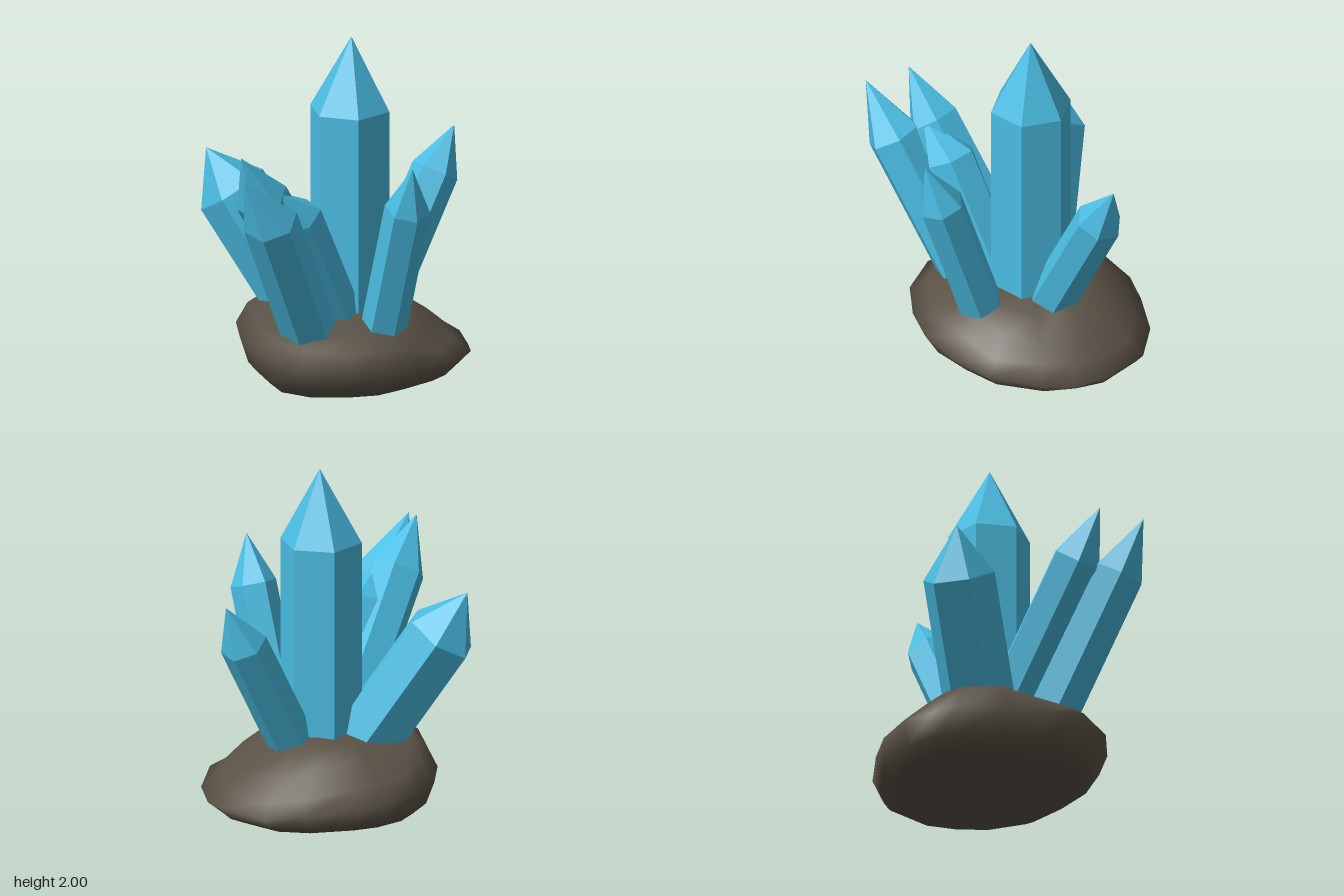
import * as THREE from 'three';

const V = (p) => new THREE.Vector3(...p);

// Six-sided prism from base to shoulder, closed by a point at tip
function crystalGeometry(base, shoulder, tip, radius, roll) {
  const lo = V(base), hi = V(shoulder), top = V(tip);
  const axis = hi.clone().sub(lo).normalize();
  lo.addScaledVector(axis, -0.03);
  const ref = axis.y > 0.99 ? new THREE.Vector3(0, 0, -1) : new THREE.Vector3(0, 1, 0);
  const u = ref.addScaledVector(axis, -ref.dot(axis)).normalize();
  const v = axis.clone().cross(u);
  const corner = (c, i) => {
    const a = roll + (i * Math.PI) / 3;
    return c.clone().addScaledVector(u, radius * Math.cos(a)).addScaledVector(v, radius * Math.sin(a));
  };
  const pts = [];
  for (let i = 0; i < 6; i++) {
    const a = corner(lo, i), b = corner(lo, i + 1), c = corner(hi, i + 1), d = corner(hi, i);
    pts.push(a, b, c, a, c, d, d, c, top, lo, b, a);
  }
  const geo = new THREE.BufferGeometry().setFromPoints(pts);
  geo.computeVertexNormals();
  return geo;
}

// Boulder: rings that scale one outline, steep at the back right, sloping on the left
function rockGeometry() {
  const outline = [
    [0.82, -0.12], [0.79, 0.06], [0.72, 0.25], [0.52, 0.48], [0.28, 0.56], [0.03, 0.62],
    [-0.2, 0.57], [-0.43, 0.46], [-0.57, 0.26], [-0.56, 0.04], [-0.52, -0.2], [-0.43, -0.45],
    [-0.33, -0.58], [-0.17, -0.68], [0.05, -0.71], [0.23, -0.68], [0.53, -0.57], [0.71, -0.42],
  ];
  const n = outline.length, cx = 0.1;
  // scale, height, share of rim tilt, widening and lift of the steep side, drop on the left, centre z
  const rings = [
    [0.79, 0, 0, 0, 0, 0, -0.075], [0.91, 0.06, 0.3, 0, 0, 0, -0.07], [1, 0.18, 1, 0, 0, 0, -0.05],
    [0.86, 0.27, 0.6, 0.6, 0.14, 0.04, -0.05], [0.7, 0.35, 0.2, 0.6, 0.06, 0.08, -0.05],
    [0.5, 0.4, 0, 0, 0, 0.06, -0.05], [0.25, 0.425, 0, 0, 0, 0.03, -0.05],
  ];
  const pos = [cx, 0, -0.075], index = [];
  rings.forEach(([s, y, tilt, widen, lift, fall, cz], r) => outline.forEach(([x, z], i) => {
    const steep = Math.max(0, -x - 0.2) * 2 * THREE.MathUtils.clamp(0.5 - z * 1.5, 0, 1);
    const wide = s + (1 - s) * steep * widen;
    const px = cx + (x - cx) * wide, pz = cz + (z + 0.05) * wide;
    const bump = tilt * 0.015 * Math.sin(i * 2.3 + r);
    const back = r > 3 && z < 0 ? 0.03 : 0;
    const drop = Math.min(fall, Math.max(0, px - 0.3) * 0.3);
    pos.push(px, Math.max(0, y - tilt * 0.1 * x + bump + back + steep * lift - drop), pz);
  }));
  const last = 1 + rings.length * n, t = last - n;
  pos.push(cx, 0.435, -0.05);
  for (let i = 0; i < n; i++) {
    const j = (i + 1) % n;
    index.push(0, 1 + i, 1 + j);
    for (let r = 0; r < rings.length - 1; r++) {
      const a = 1 + r * n + i, b = 1 + r * n + j;
      index.push(a, a + n, b, b, a + n, b + n);
    }
    index.push(t + i, last, t + j);
  }
  const geo = new THREE.BufferGeometry();
  geo.setAttribute('position', new THREE.Float32BufferAttribute(pos, 3));
  geo.setIndex(index);
  geo.computeVertexNormals();
  return geo;
}

export function createModel() {
  const group = new THREE.Group();
  const blue = new THREE.MeshStandardMaterial({ color: 0x4abde3 });
  blue.name = 'crystalBlue';
  const brown = new THREE.MeshStandardMaterial({ color: 0x5a5246 });
  brown.name = 'rockBrown';
  const add = (name, geo, mat) => {
    const mesh = new THREE.Mesh(geo, mat);
    mesh.name = name;
    group.add(mesh);
  };

  add('rockBase', rockGeometry(), brown);

  // name, base, shoulder, tip, radius, roll
  const crystals = [
    ['mainCrystal', [0.093, 0.36, -0.035], [0.093, 1.57, -0.035], [0.1, 2, -0.03], 0.236, -0.22],
    ['leftCrystal', [0.29, 0.37, -0.06], [0.68, 1.08, -0.15], [0.81, 1.33, -0.17], 0.138, 0.3],
    ['frontCrystal', [0.145, 0.41, 0.335], [0.165, 1.14, 0.59], [0.15, 1.41, 0.69], 0.132, -0.05],
    ['backCrystal', [-0.13, 0.4, -0.19], [-0.45, 1.03, -0.46], [-0.58, 1.28, -0.53], 0.212, Math.PI / 6],
    ['rightFrontCrystal', [-0.28, 0.37, 0.2], [-0.63, 1.13, 0.45], [-0.83, 1.41, 0.52], 0.16, 0.2],
    ['rightCrystal', [-0.07, 0.4, -0.01], [-0.58, 1.2, 0.22], [-0.74, 1.48, 0.29], 0.155, 0.35],
    ['smallRightCrystal', [-0.06, 0.4, 0.09], [-0.37, 1.06, 0.23], [-0.54, 1.26, 0.31], 0.15, 0.2],
  ];
  for (const [name, ...shape] of crystals) add(name, crystalGeometry(...shape), blue);
  return group;
}
